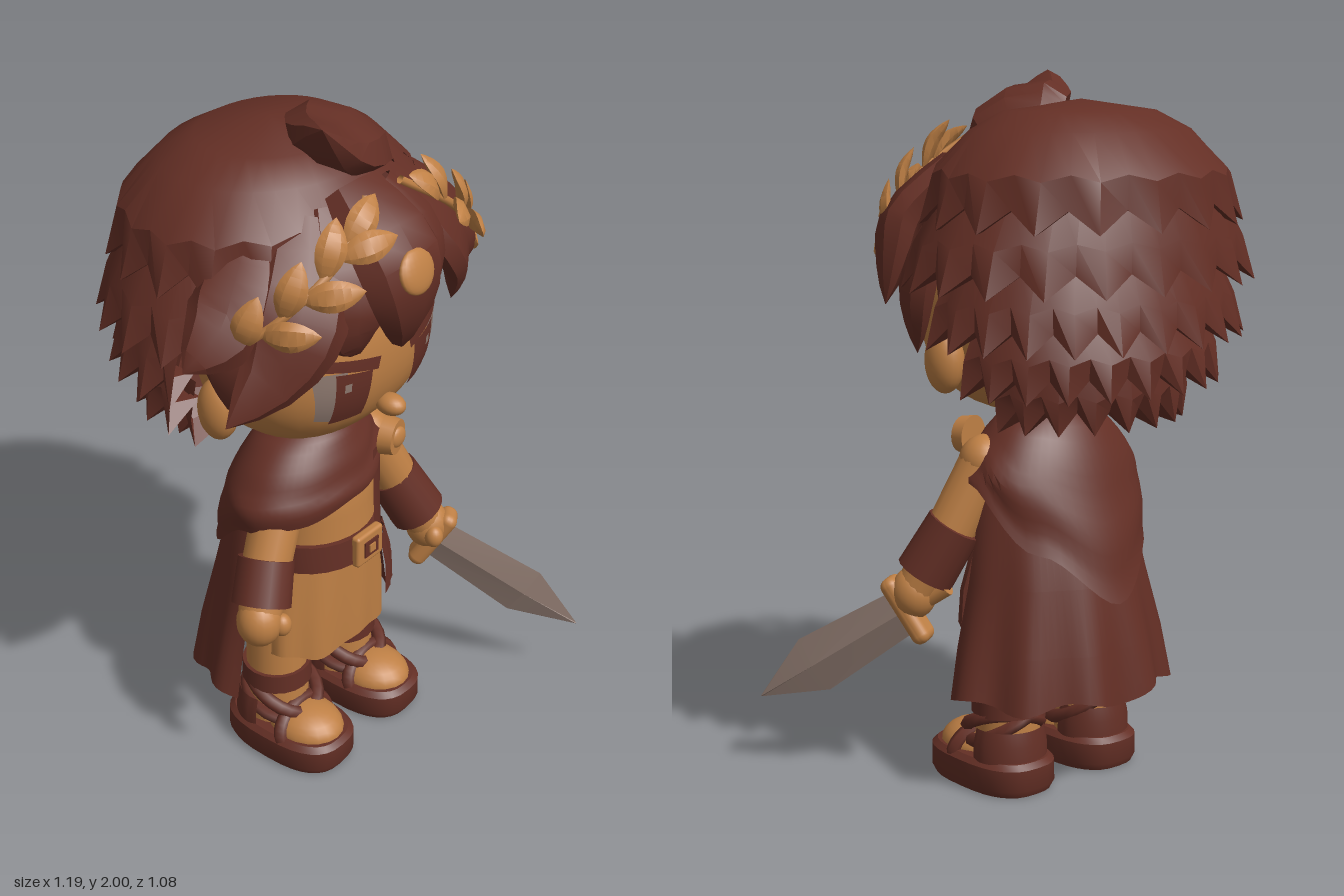
import * as THREE from 'three';
import { toCreasedNormals } from 'three/addons/utils/BufferGeometryUtils.js';
import { RoundedBoxGeometry } from 'three/addons/geometries/RoundedBoxGeometry.js';

const { sin, cos, abs, sign, pow, min, max, PI } = Math;
const CX = -0.02; // the figure's middle line
const V = (x, y, z) => new THREE.Vector3(x, y, z);

// Surface from fn(u, v) -> [x, y, z], faces pointing along du x dv
function grid(fn, nu, nv, crease = 0.7) {
  const pos = [], idx = [];
  for (let j = 0; j <= nv; j++) for (let i = 0; i <= nu; i++) pos.push(...fn(i / nu, j / nv, i, j));
  for (let j = 0; j < nv; j++) for (let i = 0; i < nu; i++) {
    const a = j * (nu + 1) + i, d = a + nu + 1;
    idx.push(a, a + 1, d, a + 1, d + 1, d);
  }
  const g = new THREE.BufferGeometry();
  g.setAttribute('position', new THREE.Float32BufferAttribute(pos, 3));
  g.setIndex(idx);
  return toCreasedNormals(g, crease);
}

// Loft through rows [y, rx, front rz, back rz], listed bottom to top; angle 0 faces +z
function loft(rows, n, { a0 = -PI, a1 = PI, p = 2, cz = 0, mod = null, crease = 0.7 } = {}) {
  const e = 2 / p;
  return grid((u, v, i, j) => {
    const [y, rx, rf, rb] = rows[j], a = a0 + (a1 - a0) * u, s = sin(a), c = cos(a);
    const [k, dy] = mod ? mod(i, j, a) : [1, 0];
    return [sign(s) * pow(abs(s), e) * rx * k, y + dy, cz + sign(c) * pow(abs(c), e) * (c > 0 ? rf : rb) * k];
  }, n, rows.length - 1, crease);
}

// Tapered, flattened lock or leaf along a curve, lying on the head
const HEAD = V(-0.03, 1.45, -0.1);
function lock(points, w, th, start = 0.2, sides = 8) {
  const curve = new THREE.CatmullRomCurve3(points.map(q => V(...q)));
  return grid((u, v) => {
    const q = curve.getPoint(v), t = curve.getTangent(v);
    const s = t.clone().cross(q.clone().sub(HEAD).normalize()).normalize();
    const n = s.clone().cross(t), f = pow(max(0, sin(PI * (start + (1 - start) * v))), 0.8), a = u * 2 * PI;
    return q.addScaledVector(s, w * f * cos(a)).addScaledVector(n, -th * f * sin(a)).toArray();
  }, sides, 8, 0.6);
}

export function createModel() {
  const mat = (name, color) => new THREE.MeshStandardMaterial({ name, color, side: THREE.DoubleSide });
  const brown = mat('dark brown', 0x642f25), tan = mat('tan', 0xbf8045), grey = mat('steel grey', 0x8f7a70);
  const root = new THREE.Group();
  const add = (name, geo, m, pos = [0, 0, 0], rot = [0, 0, 0], parent = root) => {
    const mesh = new THREE.Mesh(geo, m);
    mesh.name = name;
    mesh.position.set(...pos);
    mesh.rotation.set(...rot);
    parent.add(mesh);
    return mesh;
  };
  const ball = (name, m, pos, r, parent = root) => add(name, new THREE.SphereGeometry(1, 20, 14).scale(...r), m, pos, [0, 0, 0], parent);
  const limb = (name, m, a, b, ra, rb) => {
    const A = V(...a), B = V(...b), d = B.clone().sub(A);
    const mesh = add(name, new THREE.CylinderGeometry(rb, ra, d.length(), 16), m, A.clone().add(B).multiplyScalar(0.5).toArray());
    mesh.quaternion.setFromUnitVectors(V(0, 1, 0), d.normalize());
  };

  // Head: softly squared ball
  const P = 2.3, R = [0.36, 0.29, 0.27], HY = 1.35;
  const head = new THREE.SphereGeometry(1, 36, 26), hp = head.attributes.position;
  for (let i = 0; i < hp.count; i++) {
    const q = [hp.getX(i), hp.getY(i), hp.getZ(i)];
    const k = pow(q.reduce((s, c) => s + pow(abs(c), P), 0), -1 / P);
    hp.setXYZ(i, q[0] * k * R[0], q[1] * k * R[1], q[2] * k * R[2]);
  }
  head.computeVertexNormals();
  add('head', head, tan, [CX, HY, 0]);
  ball('nose', tan, [CX, 1.19, 0.265], [0.035, 0.03, 0.045]);

  // Painted face plates that follow the head; corners run anticlockwise from lower left
  const faceZ = (x, y) => R[2] * pow(max(0, 1 - pow(abs(x / R[0]), P) - pow(abs((y - HY) / R[1]), P)), 1 / P);
  const plate = (name, m, c, side, lift) => add(name, grid((u, v) => {
    const mix = k => (c[0][k] * (1 - u) + c[1][k] * u) * (1 - v) + (c[3][k] * (1 - u) + c[2][k] * u) * v;
    const x = side * mix(0), y = mix(1);
    return [CX + x, y, faceZ(x, y) + lift];
  }, 8, 8), m);
  for (const s of [-1, 1]) {
    plate('eyeWhite', grey, [[0.17, 1.2], [0.24, 1.22], [0.265, 1.37], [0.17, 1.36]], s, 0.004);
    plate('iris', brown, [[0.1, 1.2], [0.2, 1.2], [0.205, 1.36], [0.09, 1.34]], s, 0.007);
    plate('eyeGlint', grey, [[0.16, 1.3], [0.18, 1.3], [0.18, 1.325], [0.16, 1.325]], s, 0.009);
    plate('eyebrow', brown, [[0.07, 1.335], [0.27, 1.385], [0.27, 1.415], [0.06, 1.37]], s, 0.008);
    ball('ear', tan, [CX + s * 0.37, 1.24, -0.02], [0.05, 0.09, 0.06]);
  }

  // Hair: a crown and four ragged tiers, each turned in at its lower edge
  const tier = (name, rows, n, span, lift) => {
    const mesh = add(name, loft(rows, n, {
      a0: PI - span, a1: PI + span, cz: -0.13, crease: 0.5,
      mod: (i, j, a) => {
        const spike = i % 2 ? -1 : 1, amp = j === 1 ? 1 : j === 2 ? 0.3 : 0;
        return [1 + 0.045 * spike * amp, (j < 3 ? lift * max(0, cos(a)) : 0) - 0.03 * spike * amp];
      },
    }), brown);
    mesh.position.x = -0.04;
  };
  tier('hairCrown', [[1.64, 0.36, 0.28, 0.3], [1.62, 0.46, 0.35, 0.385], [1.73, 0.43, 0.34, 0.37],
    [1.84, 0.32, 0.27, 0.27], [1.89, 0.22, 0.2, 0.18], [1.92, 0, 0, 0]], 34, PI, 0.02);
  tier('hairTierA', [[1.5, 0.4, 0.3, 0.3], [1.46, 0.515, 0.38, 0.395], [1.56, 0.49, 0.37, 0.38], [1.7, 0.4, 0.3, 0.33]], 26, 0.67 * PI, 0);
  tier('hairTierB', [[1.34, 0.38, 0.28, 0.28], [1.31, 0.475, 0.34, 0.385], [1.4, 0.46, 0.34, 0.37], [1.52, 0.4, 0.3, 0.32]], 26, 0.56 * PI, 0);
  tier('hairTierC', [[1.21, 0.3, 0.22, 0.22], [1.18, 0.41, 0.3, 0.325], [1.26, 0.41, 0.3, 0.33], [1.38, 0.36, 0.25, 0.28]], 22, 0.5 * PI, 0);
  tier('hairTierD', [[1.13, 0, 0, 0], [1.08, 0.3, 0.2, 0.24], [1.15, 0.32, 0.22, 0.26], [1.25, 0.3, 0.2, 0.25]], 18, 0.48 * PI, 0);

  // Fringe, side locks and quiff: path, half width, half thickness
  const locks = [
    [[[-0.08, 1.82, 0.17], [-0.09, 1.69, 0.32], [-0.06, 1.54, 0.34], [-0.01, 1.37, 0.29]], 0.14, 0.07],
    [[[0.02, 1.8, 0.18], [0.07, 1.67, 0.28], [0.06, 1.55, 0.3], [0.03, 1.44, 0.29]], 0.08, 0.05],
    [[[-0.14, 1.78, 0.16], [-0.2, 1.61, 0.27], [-0.21, 1.5, 0.28], [-0.16, 1.41, 0.27]], 0.11, 0.05],
    [[[-0.2, 1.76, 0.13], [-0.33, 1.58, 0.21], [-0.41, 1.45, 0.2], [-0.56, 1.33, 0.16]], 0.13, 0.06],
    [[[-0.33, 1.7, 0.05], [-0.45, 1.56, 0.08], [-0.6, 1.47, 0.06]], 0.12, 0.07],
    [[[0.08, 1.79, 0.16], [0.2, 1.63, 0.25], [0.27, 1.51, 0.25], [0.29, 1.37, 0.23]], 0.11, 0.05],
    [[[0.2, 1.75, 0.12], [0.33, 1.6, 0.18], [0.38, 1.5, 0.16], [0.43, 1.38, 0.13]], 0.12, 0.06],
    [[[-0.38, 1.58, 0.06], [-0.42, 1.42, 0.07], [-0.41, 1.25, 0.07]], 0.09, 0.05],
    [[[0.32, 1.58, 0.06], [0.37, 1.42, 0.07], [0.37, 1.25, 0.07]], 0.09, 0.05],
    [[[0.12, 1.82, -0.05], [0.06, 1.87, 0.02], [-0.06, 1.9, 0.08], [-0.17, 1.995, 0.15]], 0.15, 0.08],
  ];
  for (const [path, w, th] of locks) add('hairLock', lock(path, w, th), brown);
  add('forelockDisc', new THREE.SphereGeometry(1, 20, 12).scale(0.065, 0.06, 0.02), tan, [-0.095, 1.66, 0.392], [-0.3, 0, 0]);

  // Laurel wreath: leaves alternate to both sides of a branch
  for (const s of [-1, 1]) {
    const branch = new THREE.CatmullRomCurve3([[0.45, 1.5, 0.12], [0.36, 1.61, 0.23], [0.22, 1.72, 0.28], [0.07, 1.82, 0.24]]
      .map(q => V(-0.04 + s * q[0], q[1], q[2])));
    add('laurelStem', new THREE.TubeGeometry(branch, 16, 0.012, 6), tan);
    for (let i = 0; i < 7; i++) {
      const t = i === 6 ? 0.74 : 0.05 + i * 0.125, a = branch.getPoint(t), d = branch.getTangent(t);
      const out = a.clone().sub(HEAD).normalize(), across = d.clone().cross(out).normalize();
      const dir = d.addScaledVector(across, i === 6 ? 0 : i % 2 ? 0.65 : -0.65).normalize();
      const at = (k, h) => a.clone().addScaledVector(dir, k).addScaledVector(out, h).toArray();
      add('laurelLeaf', lock([at(0, 0), at(0.075, 0.025), at(0.155, 0.02)], 0.04, 0.016, 0.05, 6), tan);
    }
  }

  // Torso, pleated skirt and belt
  const body = new THREE.Group();
  body.name = 'body';
  body.position.set(CX, 0, 0.02);
  root.add(body);
  const dress = (name, geo, m) => add(name, geo, m, [0, 0, 0], [0, 0, 0], body);
  dress('neck', new THREE.CylinderGeometry(0.08, 0.09, 0.16, 16).translate(0, 1.05, -0.02), tan);
  dress('tunicTop', loft([[0.65, 0.185, 0.15, 0.13], [0.8, 0.175, 0.14, 0.12], [0.93, 0.19, 0.135, 0.12], [1.01, 0.14, 0.1, 0.1], [1.06, 0.07, 0.07, 0.07]], 28), tan);
  dress('skirt', loft([[0.4, 0, 0, 0], [0.35, 0.235, 0.145, 0.14], [0.5, 0.225, 0.15, 0.135], [0.67, 0.185, 0.15, 0.13]], 64, {
    mod: (i, j, a) => [1 + (3 - j) * 0.015 * cos(10 * a), j === 1 ? 0.012 * cos(5 * a) : 0],
  }), tan);
  dress('belt', loft([[0.645, 0.18, 0.14, 0.12], [0.645, 0.2, 0.165, 0.145], [0.73, 0.195, 0.16, 0.14], [0.73, 0.17, 0.13, 0.12]], 28), brown);
  dress('sash', loft([[0.66, 0.195, 0.165, 0.14], [0.8, 0.19, 0.158, 0.13], [0.97, 0.2, 0.15, 0.13]], 8, { a0: 0.3, a1: 1.15 }), brown);
  dress('sashTail', loft([[0.44, 0.25, 0.175, 0.15], [0.55, 0.24, 0.175, 0.15], [0.66, 0.2, 0.165, 0.14]], 6, {
    a0: 0.5, a1: 1.1, mod: (i, j) => [i % 2 ? 1.04 : 1, j ? 0 : 0.015 * (i % 2)],
  }), brown);
  add('buckle', new RoundedBoxGeometry(0.115, 0.1, 0.03, 2, 0.01), tan, [-0.01, 0.685, 0.185]);
  add('buckleInset', new THREE.BoxGeometry(0.06, 0.05, 0.008), brown, [-0.01, 0.685, 0.2]);
  add('bucklePin', new THREE.BoxGeometry(0.025, 0.025, 0.008), tan, [-0.01, 0.685, 0.204]);

  // Cape with folds, and a shawl that dips to a point at the back
  add('cape', loft([[0.28, 0.36, 0.3, 0.32], [0.42, 0.33, 0.3, 0.3], [0.6, 0.285, 0.26, 0.26], [0.85, 0.24, 0.2, 0.195], [1.03, 0.15, 0.12, 0.12]], 48, {
    a0: 0.48 * PI, a1: 1.52 * PI,
    mod: (i, j, a) => [1 + max(0, 3 - j) * 0.014 * cos(11 * a), j ? 0 : 0.015 * cos(7 * a)],
  }), brown, [-0.04, 0, 0]);
  const hem = [0.55, 0.68, 0.82, 0.84, 0.88, 0.96, 0.88, 0.7, 0.55];
  add('shawl', grid((u, v) => {
    const a = -PI + 2 * PI * u, i = min(7, Math.floor(u * 8)), f = u * 8 - i;
    const low = hem[i] + (hem[i + 1] - hem[i]) * f * f * (3 - 2 * f);
    const y = low + (1.07 - low) * v, d = 1.07 - y, k = pow(min(1, d / 0.17), 0.6);
    const fold = 1 + 0.02 * sin(v * 14 + a) * (1 - v);
    const rx = (0.11 + (sin(a) < 0 ? 0.18 : 0.17) * k) * fold, c = cos(a);
    const rz = (c > 0 ? 0.1 + 0.085 * k : 0.09 + 0.2 * pow(d / 0.5, 0.6)) * fold;
    return [-0.04 + sin(a) * rx, y, c * rz];
  }, 56, 12), brown);
  add('brooch', new THREE.CylinderGeometry(0.052, 0.058, 0.04, 20), tan, [0.12, 0.98, 0.165], [PI / 2, 0, -0.25]);
  ball('broochStud', tan, [0.123, 0.982, 0.185], [0.032, 0.032, 0.015]);

  // Arms: shoulder, elbow, hand
  const arms = [
    [[-0.19, 0.93, 0.03], [-0.31, 0.7, 0.06], [-0.37, 0.58, 0.09]],
    [[0.16, 0.93, 0.04], [0.265, 0.71, 0.09], [0.33, 0.56, 0.15]],
  ];
  for (const [a, b, c] of arms) {
    ball('shoulder', tan, a, [0.075, 0.075, 0.075]);
    limb('upperArm', tan, a, b, 0.072, 0.07);
    limb('forearm', tan, b, c, 0.07, 0.06);
    const lerp = (t) => b.map((q, i) => q + (c[i] - q) * t);
    limb('bracer', brown, lerp(-0.3), lerp(0.65), 0.08, 0.085);
    ball('hand', tan, c, [0.065, 0.075, 0.065]);
    ball('thumb', tan, [c[0] * 0.9, c[1] - 0.01, c[2] + 0.05], [0.028, 0.035, 0.028]);
  }

  // Sword: local y runs to the tip, local x across the blade
  const sword = new THREE.Group();
  sword.name = 'sword';
  const dir = V(0.24, -0.29, 0.37).normalize(), flat = V(-0.84, 0, 0.545).normalize();
  sword.quaternion.setFromRotationMatrix(new THREE.Matrix4().makeBasis(dir.clone().cross(flat), dir, flat));
  sword.position.set(0.35, 0.505, 0.17);
  root.add(sword);
  add('blade', loft([[0, 0.065, 0.018, 0.018], [0.33, 0.085, 0.016, 0.016], [0.53, 0.002, 0.002, 0.002]], 4, { crease: 0.1 }), grey, [0, 0, 0], [0, 0, 0], sword);
  add('guard', new RoundedBoxGeometry(0.21, 0.055, 0.085, 3, 0.025), tan, [0, -0.01, 0], [0, 0, 0], sword);
  add('grip', new THREE.CylinderGeometry(0.028, 0.028, 0.14, 12), tan, [0, -0.08, 0], [0, 0, 0], sword);

  // Legs with strapped sandals
  for (const s of [-1, 1]) {
    const leg = new THREE.Group();
    leg.name = s < 0 ? 'rightLeg' : 'leftLeg';
    leg.position.x = CX + s * 0.16;
    root.add(leg);
    const part = (name, geo, m, pos, rot) => add(name, geo, m, pos, rot, leg);
    const lx = -s * 0.008;
    part('calf', new THREE.CylinderGeometry(0.088, 0.095, 0.36, 20), tan, [lx, 0.25, -0.02]);
    part('sole', loft([[0, 0, 0, 0], [0, 0.118, 0.19, 0.19], [0.02, 0.127, 0.2, 0.2], [0.08, 0.125, 0.2, 0.2], [0.095, 0.11, 0.185, 0.185], [0.095, 0, 0, 0]], 32, { p: 2.7 }), brown, [0, 0, 0.04]);
    ball('foot', tan, [0, 0.09, 0.1], [0.1, 0.07, 0.12], leg);
    part('heelCup', loft([[0.08, 0.112, 0.1, 0.11], [0.14, 0.11, 0.1, 0.108], [0.18, 0.1, 0.095, 0.1]], 24, { a0: 0.42 * PI, a1: 1.58 * PI }), brown, [0, 0, -0.03]);
    part('shinBand', new THREE.CylinderGeometry(0.102, 0.104, 0.06, 20), brown, [lx, 0.245, -0.02]);
    for (const t of [-1, 1])
      part('crossStrap', new THREE.TorusGeometry(0.098, 0.02, 6, 24).scale(1, 1.12, 1).rotateX(PI / 2), brown, [lx, 0.17, 0], [0.4, 0, t * 0.3]);
    part('toeStrap', new THREE.TorusGeometry(0.088, 0.022, 6, 16, PI).scale(1.15, 0.85, 1), brown, [0, 0.085, 0.09], [-0.3, 0, 0]);
  }
  return root;
}
